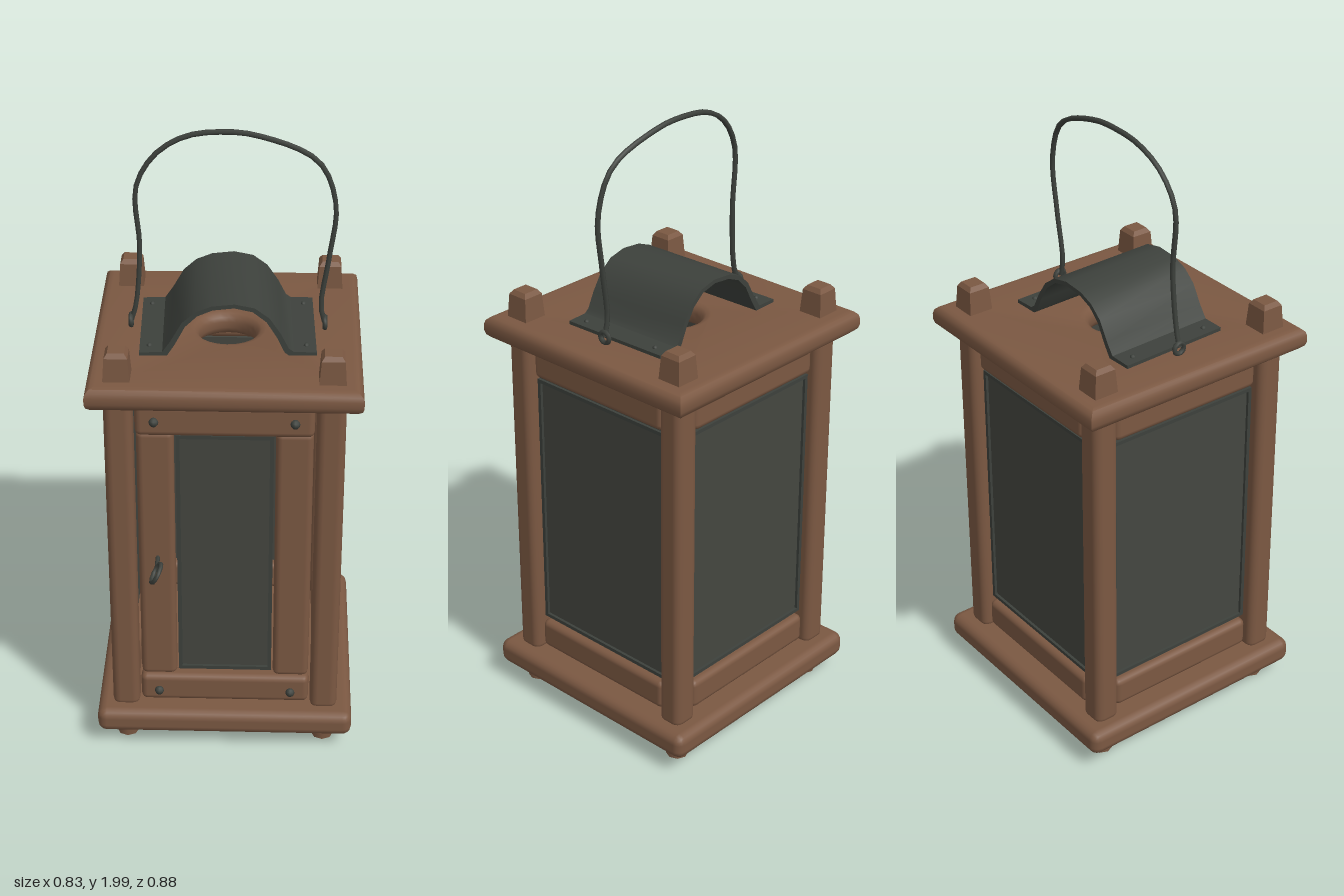
import * as THREE from 'three';
import { toCreasedNormals } from 'three/addons/utils/BufferGeometryUtils.js';
import { RoundedBoxGeometry } from 'three/addons/geometries/RoundedBoxGeometry.js';

const wood = new THREE.MeshStandardMaterial({ color: 0x7b5842 });
const iron = new THREE.MeshStandardMaterial({ color: 0x3d413c });
const pane = new THREE.MeshStandardMaterial({ color: 0x444640 });
wood.name = 'wood';
iron.name = 'iron';
pane.name = 'pane';

function add(parent, name, geometry, material, x = 0, y = 0, z = 0) {
  const mesh = new THREE.Mesh(geometry, material);
  mesh.name = name;
  mesh.position.set(x, y, z);
  parent.add(mesh);
  return mesh;
}

const block = (w, h, d, r = 0.02) => new RoundedBoxGeometry(w, h, d, 2, r);

// Top board with a round smoke hole
function lidGeometry() {
  const s = 0.385, shape = new THREE.Shape();
  shape.moveTo(-s, -s).lineTo(s, -s).lineTo(s, s).lineTo(-s, s).closePath();
  const hole = new THREE.Path();
  hole.absarc(0, 0, 0.12, 0, Math.PI * 2, true);
  shape.holes.push(hole);
  const geo = new THREE.ExtrudeGeometry(shape, {
    depth: 0.02, bevelThickness: 0.028, bevelSize: 0.03, bevelSegments: 3, curveSegments: 12,
  });
  geo.rotateX(-Math.PI / 2);
  return toCreasedNormals(geo, 0.7);
}

// Bent sheet with two flat flanges, extruded along z
function hoodGeometry() {
  const top = [[-0.27, 0.012], [-0.2, 0.014], [-0.175, 0.05], [-0.14, 0.112], [-0.1, 0.148], [-0.05, 0.168],
    [0.02, 0.175], [0.08, 0.162], [0.125, 0.128], [0.16, 0.075], [0.185, 0.025], [0.2, 0.014], [0.27, 0.012]];
  const inner = top.map(([x, y]) => [x * (Math.abs(x) < 0.22 ? 0.93 : 1), Math.max(0, y - 0.013)]).reverse();
  const shape = new THREE.Shape([...top, ...inner].map(([x, y]) => new THREE.Vector2(x, y)));
  const geo = new THREE.ExtrudeGeometry(shape, { depth: 0.37, bevelEnabled: false });
  geo.translate(0, 0, -0.185);
  return toCreasedNormals(geo, 0.6);
}

// Thin rim around a pane
function rimGeometry(w, h) {
  const rect = (C, a, b) => new C([[-a, -b], [a, -b], [a, b], [-a, b]].map(p => new THREE.Vector2(...p)));
  const shape = rect(THREE.Shape, w / 2, h / 2);
  shape.holes.push(rect(THREE.Path, w / 2 - 0.012, h / 2 - 0.012));
  return new THREE.ExtrudeGeometry(shape, { depth: 0.012, bevelEnabled: false });
}

// One wall facing +z: two rails, a rimmed pane, and stiles if the pane is narrow
function wall(name, paneWidth, railZ) {
  const g = new THREE.Group();
  g.name = name;
  add(g, 'upperRail', block(0.545, 0.11, 0.06), wood, 0, 1.215, railZ);
  add(g, 'lowerRail', block(0.545, 0.1, 0.06), wood, 0, 0.205, railZ);
  add(g, 'pane', new THREE.BoxGeometry(paneWidth, 0.89, 0.012), pane, 0, 0.707, 0.313);
  add(g, 'paneRim', rimGeometry(paneWidth, 0.885), iron, 0, 0.707, 0.316);
  return g;
}

export function createModel() {
  const model = new THREE.Group();
  model.name = 'lantern';
  const body = new THREE.Group();
  body.name = 'body';
  body.position.z = -0.025;
  model.add(body);

  // Base and lid boards
  add(body, 'base', block(0.83, 0.085, 0.83, 0.03), wood, 0, 0.1025, 0);
  add(body, 'lid', lidGeometry(), wood, 0, 1.302, 0);

  // Corner posts with pegs above and feet below
  const pegGeo = new THREE.CylinderGeometry(0.05, 0.058, 0.08, 4);
  pegGeo.rotateY(Math.PI / 4);
  const capGeo = new THREE.CylinderGeometry(0.036, 0.05, 0.014, 4);
  capGeo.rotateY(Math.PI / 4);
  const footGeo = new THREE.CylinderGeometry(0.042, 0.036, 0.07, 8);
  [pegGeo, capGeo, footGeo].forEach((g, i, a) => { a[i] = toCreasedNormals(g, 0.5); });
  for (const x of [-0.322, 0.322]) {
    for (const z of [-0.32, 0.32]) {
      add(body, 'post', block(0.088, 1.16, 0.085, 0.025), wood, x, 0.71, z);
      add(body, 'peg', toCreasedNormals(pegGeo, 0.5), wood, x, 1.385, z);
      add(body, 'pegTop', toCreasedNormals(capGeo, 0.5), wood, x, 1.432, z);
      add(body, 'foot', toCreasedNormals(footGeo, 0.9), wood, x, 0.038, z);
    }
  }

  // Four walls; the front one is a door with stiles
  ['leftWall', 'backWall', 'rightWall'].forEach((name, i) => {
    const w = wall(name, 0.545, 0.315);
    w.rotation.y = (i + 1) * Math.PI / 2;
    body.add(w);
  });
  const door = wall('door', 0.3, 0.327);
  body.add(door);
  for (const x of [-0.213, 0.213]) {
    add(door, 'stile', block(0.115, 0.92, 0.05), wood, x, 0.707, 0.315);
    for (const y of [0.2, 1.215]) {
      add(door, 'nail', new THREE.SphereGeometry(0.015, 8, 6), iron, x, y, 0.362);
    }
  }

  // Ring pull on the door
  const pull = new THREE.Group();
  pull.name = 'ringPull';
  pull.position.set(-0.21, 0.71, 0.402);
  pull.rotation.z = -0.5;
  add(pull, 'ring', new THREE.TorusGeometry(0.033, 0.007, 6, 10), iron).rotation.y = Math.PI / 2;
  add(pull, 'stem', new THREE.CylinderGeometry(0.007, 0.007, 0.07, 6), iron, 0, 0, -0.065).rotation.x = Math.PI / 2;
  model.add(pull);

  // Hood over the smoke hole, nailed at its corners
  const hood = new THREE.Group();
  hood.name = 'hood';
  hood.position.set(0, 1.349, -0.025);
  hood.rotation.y = 0.03;
  add(hood, 'sheet', hoodGeometry(), iron);
  for (const x of [-0.24, 0.24]) {
    for (const z of [-0.14, 0.14]) add(hood, 'hoodNail', new THREE.SphereGeometry(0.009, 8, 6), iron, x, 0.012, z);
  }
  model.add(hood);

  // Wire handle and its eyelets
  const path = [[-0.3, 1.375, -0.025], [-0.285, 1.43, -0.025], [-0.27, 1.62, -0.03], [-0.277, 1.82, -0.03],
    [-0.22, 1.92, -0.038], [-0.13, 1.975, -0.047], [-0.02, 1.99, -0.05], [0.09, 1.98, -0.047],
    [0.27, 1.905, -0.036], [0.325, 1.77, -0.03], [0.31, 1.6, -0.028], [0.288, 1.43, -0.025], [0.3, 1.375, -0.025]];
  const curve = new THREE.CatmullRomCurve3(path.map(p => new THREE.Vector3(...p)), false, 'centripetal');
  add(model, 'handle', new THREE.TubeGeometry(curve, 40, 0.0085, 6), iron);
  for (const x of [-0.302, 0.302]) {
    add(model, 'eyelet', new THREE.TorusGeometry(0.018, 0.008, 6, 10), iron, x, 1.372, -0.027).rotation.y = Math.PI / 2;
  }
  return model;
}
